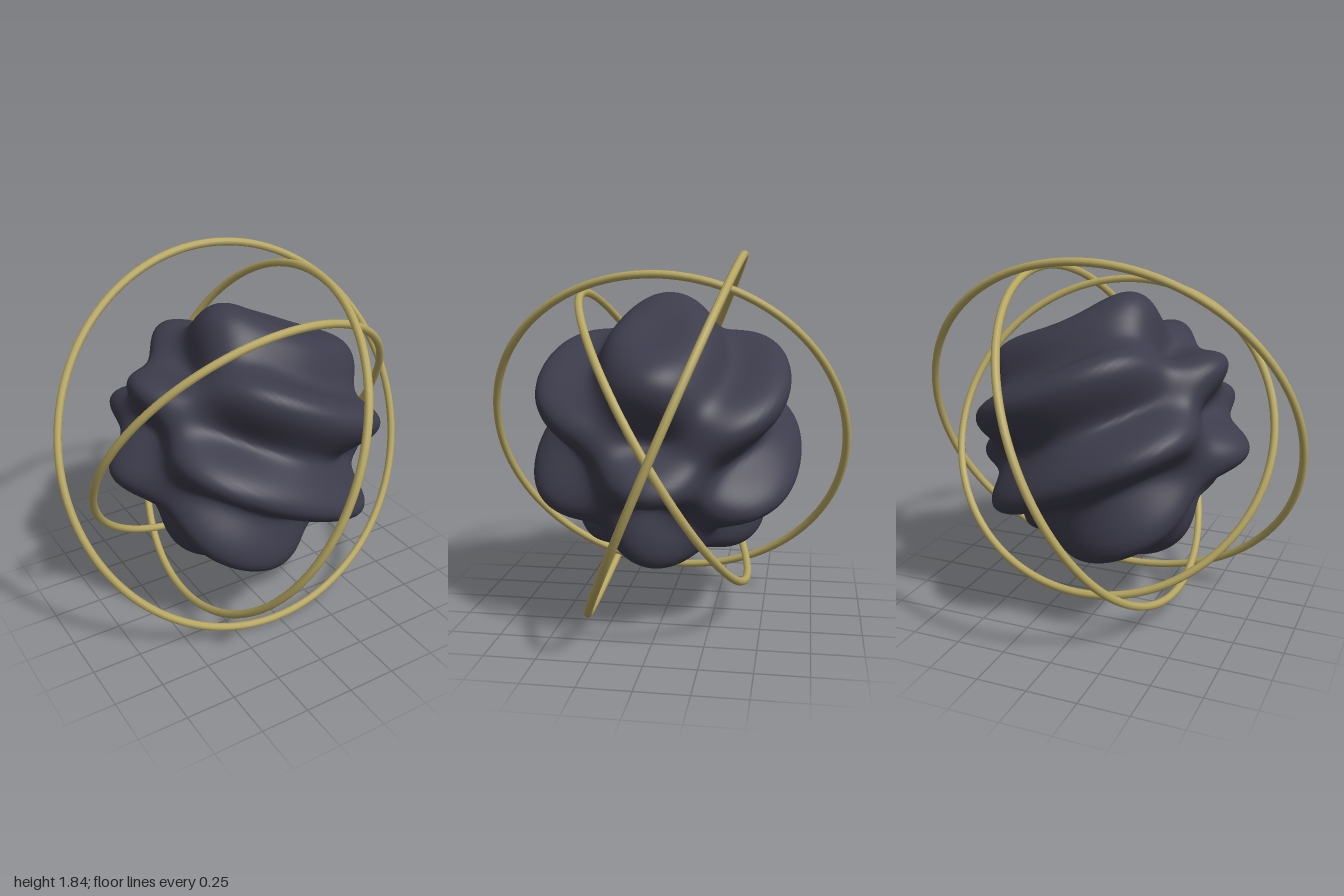
import * as THREE from 'three';
import { mergeVertices } from 'three/addons/utils/BufferGeometryUtils.js';

const CENTER_Y = 0.925;

// Sphere rippled by a product of two waves: along a tilted axis and along z
function rippledSphere(radius, depth) {
  let geo = new THREE.IcosahedronGeometry(1, 36);
  geo.deleteAttribute('uv');
  geo.deleteAttribute('normal');
  geo = mergeVertices(geo, 1e-4);
  const tilt = THREE.MathUtils.degToRad(25);
  const axis = new THREE.Vector3(Math.sin(tilt), Math.cos(tilt), 0);
  const pos = geo.attributes.position;
  const v = new THREE.Vector3();
  for (let i = 0; i < pos.count; i++) {
    v.fromBufferAttribute(pos, i).normalize();
    const wave = Math.cos(9.85 * (v.dot(axis) - 0.185)) * Math.cos(4 * v.z);
    v.multiplyScalar(radius + depth * wave);
    pos.setXYZ(i, v.x, v.y, v.z);
  }
  geo.computeVertexNormals();
  return geo;
}

export function createModel() {
  const group = new THREE.Group();
  const darkSlate = new THREE.MeshStandardMaterial({ color: 0x3d3c4c });
  darkSlate.name = 'darkSlate';
  const brass = new THREE.MeshStandardMaterial({ color: 0xb8a862 });
  brass.name = 'brass';

  // Rippled core
  const core = new THREE.Mesh(rippledSphere(0.615, 0.105), darkSlate);
  core.name = 'core';
  core.position.y = CENTER_Y + 0.005;
  group.add(core);

  // Rings, each lying in the plane of a side and a top direction
  const rings = [
    ['outerRing', 0.98, [1, 0, -0.04], [-0.02, 0.92, -0.385]],
    ['innerRing', 0.83, [0.84, 0, -0.05], [0.025, 0.735, 0.43]],
    ['crossRing', 0.9, [0.03, 0, -0.92], [0.39, 0.83, 0.013]],
  ];
  for (const [name, radius, side, top] of rings) {
    const p = new THREE.Vector3(...side).normalize();
    const n = new THREE.Vector3().crossVectors(p, new THREE.Vector3(...top)).normalize();
    const q = new THREE.Vector3().crossVectors(n, p);
    const ring = new THREE.Mesh(new THREE.TorusGeometry(radius, 0.02, 8, 128), brass);
    ring.name = name;
    ring.quaternion.setFromRotationMatrix(new THREE.Matrix4().makeBasis(p, q, n));
    ring.position.y = CENTER_Y;
    group.add(ring);
  }
  return group;
}
